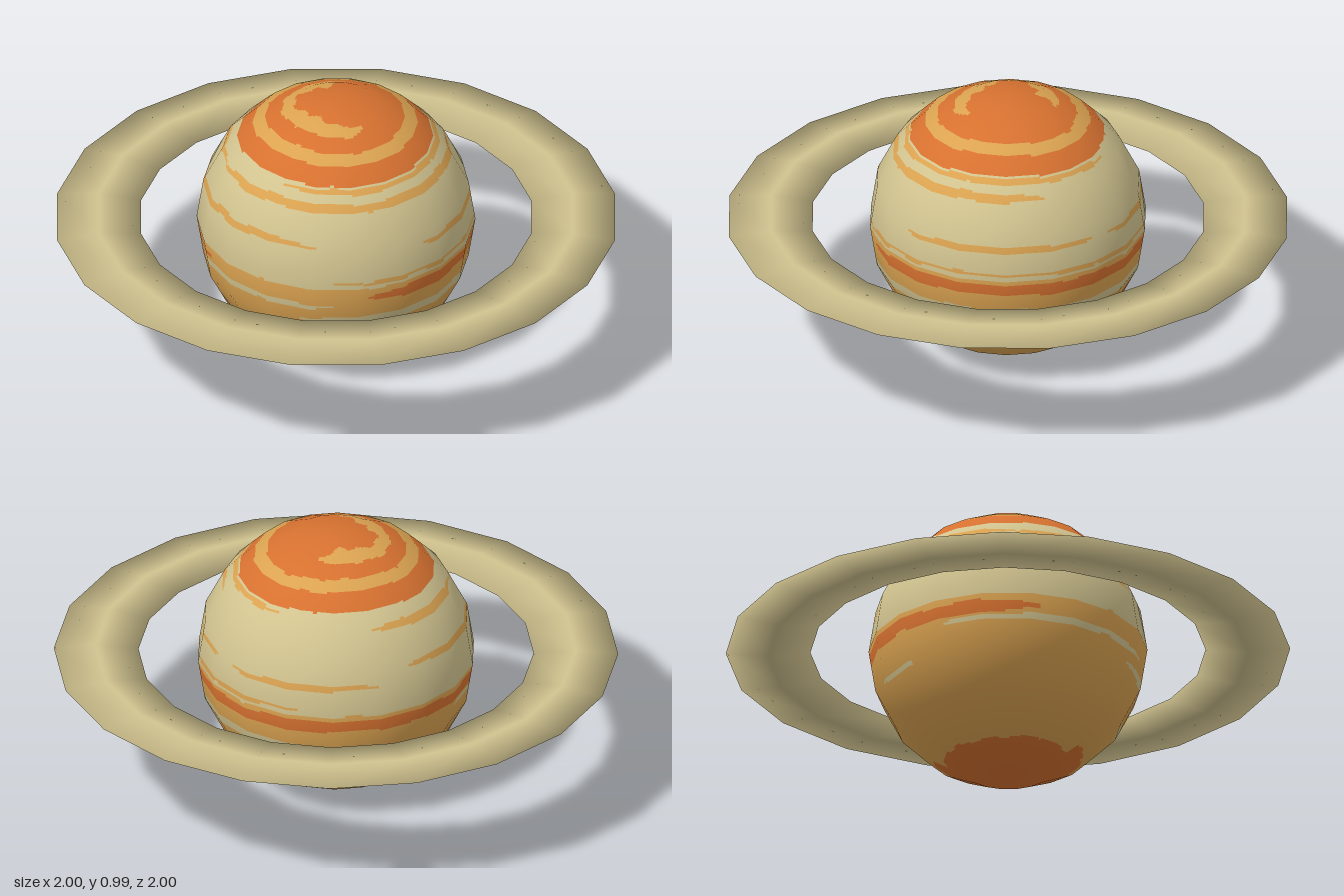
import * as THREE from 'three';

const RADIUS = 0.494;
const SIDES = 18, RINGS = 10;      // visible facets of the globe
const FINE_U = 8, FINE_V = 18;     // subdivisions inside each facet, for the colour bands
const PALE = 0, TAN = 1, ORANGE = 2;

// Streaks: [colour, start angle, end angle, height, half thickness]; angles run from the front towards +x
const STREAKS = [
  [TAN, 160, 385, 0.956, 0.011],
  [TAN, -42, 150, 0.822, 0.008],
  [TAN, -85, 100, 0.776, 0.014],
  [TAN, -160, -85, 0.785, 0.013],
  [ORANGE, -125, -95, 0.79, 0.005],
  [TAN, -145, -17, 0.652, 0.012],
  [TAN, 31, 122, 0.606, 0.011],
  [TAN, 130, 200, 0.60, 0.011],
  [TAN, -10, 165, 0.514, 0.006],
  [ORANGE, 4, 285, 0.452, 0.023],
  [PALE, -120, -9, 0.412, 0.011],
  [PALE, -25, 175, 0.352, 0.016],
  [PALE, 195, 225, 0.31, 0.012],
  [PALE, 0, 157, 0.217, 0.019],
];

// Colour of a point on the globe, from its angle (degrees) and height
function bandAt(angle, height) {
  const rad = angle * Math.PI / 180;
  const y = height + 0.003 * Math.sin(3 * rad + 1) + 0.0015 * Math.sin(11 * rad);
  for (const [colour, from, to, level, half] of STREAKS) {
    const along = ((angle - from) % 360 + 360) % 360;
    const span = to - from;
    if (along > span) continue;
    const taper = Math.min(1, 0.25 + Math.min(along, span - along) / 25);
    if (Math.abs(y - level) < half * taper) return colour;
  }
  if (y > 0.915) return ORANGE;
  if (y > 0.89) return TAN;
  if (y > 0.836) return ORANGE;
  if (y > 0.494) return PALE;
  const southEdge = angle < 170 || angle > 340 ? 0.085 : 0.06;
  return y < southEdge ? ORANGE : TAN;
}

// Faceted globe with smooth normals, its faces grouped by colour
function globeGeometry() {
  const cols = SIDES * FINE_U, rows = RINGS * FINE_V;
  const corner = (i, j) => {
    const a = i / SIDES * Math.PI * 2, t = j / RINGS * Math.PI;
    return new THREE.Vector3(Math.sin(t) * Math.sin(a), Math.cos(t), Math.sin(t) * Math.cos(a));
  };
  const positions = [], normals = [];
  for (let r = 0; r <= rows; r++) {
    const j = Math.min(Math.floor(r / FINE_V), RINGS - 1), v = r / FINE_V - j;
    for (let c = 0; c <= cols; c++) {
      const i = Math.min(Math.floor(c / FINE_U), SIDES - 1), u = c / FINE_U - i;
      const p = corner(i, j).lerp(corner(i + 1, j), u)
        .lerp(corner(i, j + 1).lerp(corner(i + 1, j + 1), u), v);
      positions.push(p.x * RADIUS, p.y * RADIUS, p.z * RADIUS);
      p.normalize();
      normals.push(p.x, p.y, p.z);
    }
  }
  const faces = [[], [], []];
  for (let r = 0; r < rows; r++) {
    for (let c = 0; c < cols; c++) {
      const a = r * (cols + 1) + c, b = a + 1, d = a + cols + 1, e = d + 1;
      const height = RADIUS + (positions[a * 3 + 1] + positions[e * 3 + 1]) / 2;
      const list = faces[bandAt((c + 0.5) / cols * 360, height)];
      if (r > 0) list.push(a, e, b);
      if (r < rows - 1) list.push(a, d, e);
    }
  }
  const geometry = new THREE.BufferGeometry();
  geometry.setAttribute('position', new THREE.Float32BufferAttribute(positions, 3));
  geometry.setAttribute('normal', new THREE.Float32BufferAttribute(normals, 3));
  geometry.setIndex(faces.flat());
  let start = 0;
  faces.forEach((list, k) => {
    geometry.addGroup(start, list.length, k);
    start += list.length;
  });
  return geometry;
}

export function createModel() {
  const material = (name, color) => {
    const m = new THREE.MeshStandardMaterial({ color });
    m.name = name;
    return m;
  };
  const pale = material('pale sand', 0xd2c490);
  const tan = material('warm tan', 0xdba351);
  const orange = material('burnt orange', 0xd67130);

  const model = new THREE.Group();
  model.name = 'ringedPlanet';

  const globe = new THREE.Mesh(globeGeometry(), [pale, tan, orange]);
  globe.name = 'globe';
  globe.position.y = RADIUS;
  model.add(globe);

  // Flattened ring with a diamond cross-section
  const ringGeometry = new THREE.TorusGeometry(0.85, 0.15, 4, 20);
  ringGeometry.rotateX(Math.PI / 2);
  ringGeometry.scale(1, 0.1, 1);
  const ring = new THREE.Mesh(ringGeometry, pale);
  ring.name = 'ring';
  ring.position.y = RADIUS;
  model.add(ring);

  return model;
}
